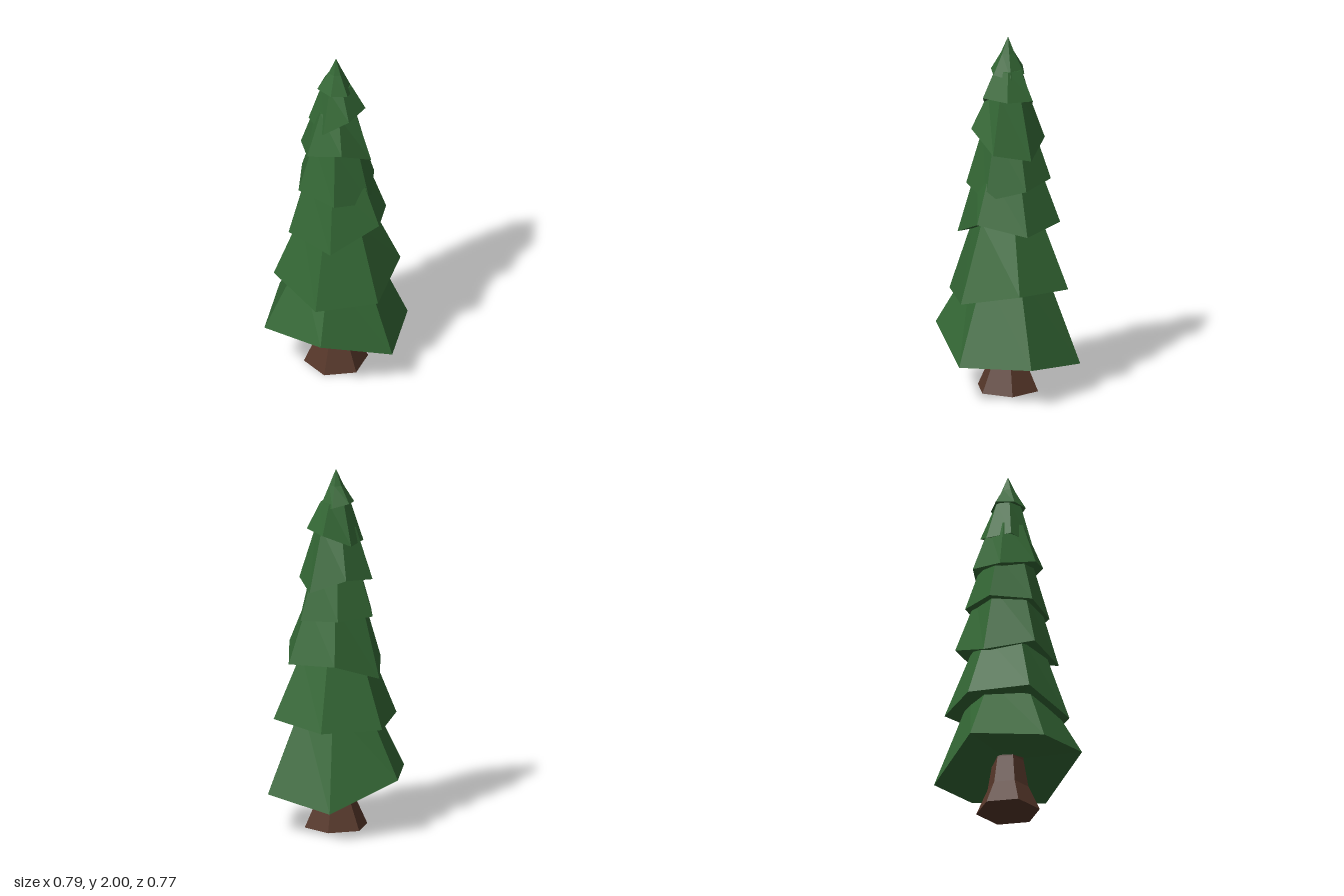
import * as THREE from 'three';

const green = new THREE.MeshStandardMaterial({ color: 0x336634, flatShading: true });
const brown = new THREE.MeshStandardMaterial({ color: 0x553629, flatShading: true });

// Each tier: uneven six-cornered skirt rim [x, y, z], then the rings above it as [scale, y].
const tiers = [
  { rim: [[0.14, 0.22, -0.385], [0.395, 0.21, -0.075], [0.255, 0.35, 0.31],
          [-0.14, 0.295, 0.385], [-0.395, 0.31, 0.075], [-0.255, 0.165, -0.31]],
    rings: [[0.5, 0.7]], hollow: 0.05 },
  { rim: [[-0.18, 0.6, -0.3], [0.165, 0.625, -0.315], [0.34, 0.545, -0.02],
          [0.18, 0.535, 0.285], [-0.165, 0.61, 0.3], [-0.34, 0.595, 0.01]],
    rings: [[0.56, 0.98]] },
  { rim: [[-0.195, 0.96, -0.21], [0.085, 0.94, -0.28], [0.275, 1.0, -0.08],
          [0.195, 0.88, 0.195], [-0.08, 0.915, 0.265], [-0.27, 0.86, 0.06]],
    rings: [[0.6, 1.27]] },
  { rim: [[-0.17, 1.2, -0.16], [0.05, 1.18, -0.225], [0.21, 1.12, -0.07],
          [0.17, 1.165, 0.15], [-0.05, 1.19, 0.22], [-0.22, 1.2, 0.06]],
    rings: [[0.6, 1.48]] },
  { rim: [[-0.175, 1.42, -0.1], [0, 1.34, -0.205], [0.18, 1.38, -0.1],
          [0.175, 1.485, 0.1], [0, 1.435, 0.2], [-0.18, 1.395, 0.1]],
    rings: [[0.54, 1.68]] },
  { rim: [[-0.05, 1.66, -0.155], [0.1, 1.67, -0.125], [0.15, 1.67, 0.03],
          [0.05, 1.575, 0.13], [-0.1, 1.6, 0.11], [-0.145, 1.595, -0.03]],
    rings: [[0.52, 1.82]] },
  { rim: [[-0.05, 1.8, -0.08], [0.045, 1.78, -0.085], [0.1, 1.8, 0],
          [0.055, 1.81, 0.08], [-0.05, 1.81, 0.09], [-0.1, 1.82, 0]],
    rings: [[0.4, 1.91], [0, 2]] },
];

// Skirt walls between successive rings, closed above and below.
function tierGeometry({ rim, rings, hollow = 0.02 }) {
  const levels = [rim, ...rings.map(([s, y]) => rim.map(p => [p[0] * s, y, p[2] * s]))];
  const meanY = rim.reduce((sum, p) => sum + p[1], 0) / rim.length;
  const base = [0, meanY + hollow, 0];
  const topY = rings[rings.length - 1][1];
  const verts = [];
  const tri = (...points) => points.forEach(p => verts.push(...p));
  for (let i = 0; i < rim.length; i++) {
    const j = (i + 1) % rim.length;
    for (let k = 0; k < levels.length - 1; k++) {
      const low = levels[k], high = levels[k + 1];
      tri(low[i], high[i], high[j]);
      tri(low[i], high[j], low[j]);
    }
    const top = levels[levels.length - 1];
    tri(base, rim[i], rim[j]);
    tri([0, topY, 0], top[j], top[i]);
  }
  const geometry = new THREE.BufferGeometry();
  geometry.setAttribute('position', new THREE.Float32BufferAttribute(verts, 3));
  geometry.computeVertexNormals();
  return geometry;
}

export function createModel() {
  const tree = new THREE.Group();
  tree.name = 'pineTree';

  // Six-sided trunk flaring at the foot, with corners on the x axis
  const profile = [[0, 0], [0.176, 0], [0.113, 0.14], [0.086, 0.3], [0.08, 0.4], [0, 0.4]];
  const trunk = new THREE.Mesh(
    new THREE.LatheGeometry(profile.map(p => new THREE.Vector2(...p)), 6, Math.PI / 2), brown);
  trunk.name = 'trunk';
  tree.add(trunk);

  // Overlapping skirts of foliage, bottom to top
  tiers.forEach((tier, i) => {
    const mesh = new THREE.Mesh(tierGeometry(tier), green);
    mesh.name = i === tiers.length - 1 ? 'treeTop' : `foliageTier${i + 1}`;
    tree.add(mesh);
  });
  return tree;
}
